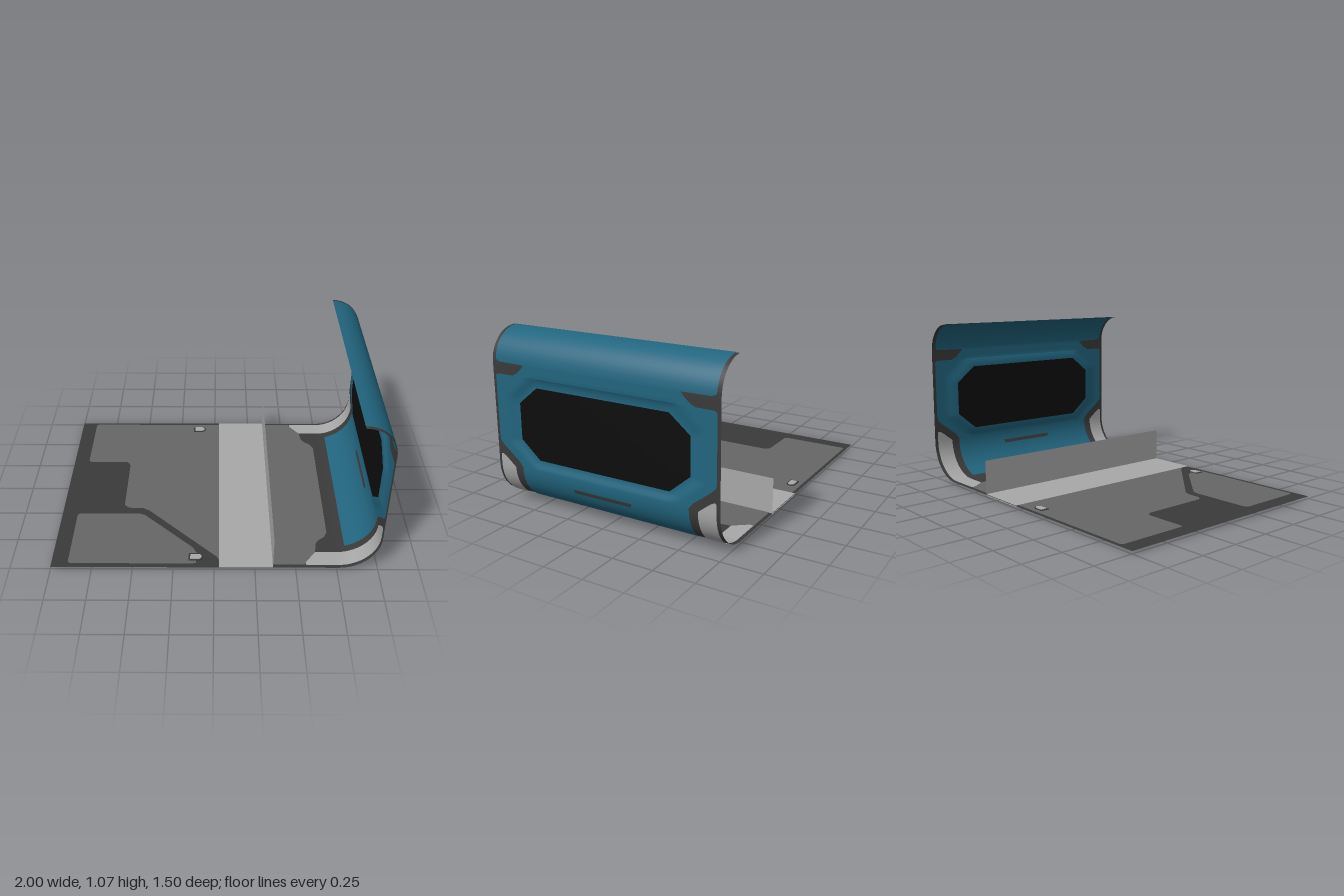
import * as THREE from 'three';

const mat = (name, color, side = THREE.DoubleSide) => {
  const m = new THREE.MeshStandardMaterial({ color, side });
  m.name = name;
  return m;
};

// Sheet profile: flat floor, lower bend, upright wall, upper bend
const FLOOR = 0.015, R1 = 0.24, R2 = 0.19, TOP = 1.065;
const bendStart = 2 - R1;                          // arc length where the floor ends
const wallStart = bendStart + R1 * Math.PI / 2;
const wallLow = FLOOR + R1, wallHigh = TOP - R2;
const wallEnd = wallStart + wallHigh - wallLow;
const total = wallEnd + R2 * Math.PI / 2;

// Arc length at a floor x, or at a height y on the bends and wall
const fx = x => x + 1;
const wy = y => {
  if (y < wallLow) return bendStart + R1 * Math.acos(1 - (y - FLOOR) / R1);
  if (y < wallHigh) return wallStart + y - wallLow;
  return wallEnd + R2 * Math.asin(Math.min(1, (y - wallHigh) / R2));
};

// Shallow eight-sided recess in the wall
function recess(y, z) {
  const dy = Math.abs(y - 0.5425), az = Math.abs(z);
  const d = Math.min((0.2725 - dy) / 0.03, (0.64 - az) / 0.04, (0.8 - az - 1.156 * dy) / 0.07);
  return 0.015 * THREE.MathUtils.clamp(d, 0, 1);
}

// Point on the sheet, moved inward by an offset
function sheetPoint(u, z, offset) {
  let x, y, a = 0;
  if (u < bendStart) {
    x = u - 1; y = FLOOR;
  } else if (u < wallStart) {
    a = (u - bendStart) / R1;
    x = 1 - R1 + R1 * Math.sin(a); y = FLOOR + R1 - R1 * Math.cos(a);
  } else if (u < wallEnd) {
    a = Math.PI / 2;
    x = 1; y = wallLow + u - wallStart;
    offset += recess(y, z);
  } else {
    const b = Math.min(Math.PI / 2, (u - wallEnd) / R2);
    a = Math.PI / 2 + b;
    x = 1 - R2 + R2 * Math.cos(b); y = wallHigh + R2 * Math.sin(b);
  }
  return [x - Math.sin(a) * offset, y + Math.cos(a) * offset, z];
}

// Patch lying on the sheet, from stations [arc length, z start, z end]
function patchGeometry(stations, offset, nz) {
  const rows = [stations[0]];
  for (let i = 1; i < stations.length; i++) {
    const p = stations[i - 1], q = stations[i];
    const n = Math.max(1, Math.ceil((q[0] - p[0]) / 0.025));
    for (let k = 1; k <= n; k++) rows.push(p.map((v, j) => v + (q[j] - v) * k / n));
  }
  const pos = [], index = [];
  rows.forEach(([u, z0, z1], r) => {
    for (let j = 0; j <= nz; j++) pos.push(...sheetPoint(u, z0 + (z1 - z0) * j / nz, offset));
    if (!r) return;
    for (let j = 0; j < nz; j++) {
      const b = r * (nz + 1) + j, a = b - nz - 1;
      index.push(a, a + 1, b, b, a + 1, b + 1);
    }
  });
  const g = new THREE.BufferGeometry();
  g.setAttribute('position', new THREE.Float32BufferAttribute(pos, 3));
  g.setIndex(index);
  g.computeVertexNormals();
  return g;
}

export function createModel() {
  const model = new THREE.Group();
  model.name = 'foldedCover';
  const dark = mat('darkGrey', 0x3a3a3a);
  const grey = mat('midGrey', 0x666666);
  const light = mat('lightGrey', 0xa8a8a8);
  const teal = mat('teal', 0x22657f);
  const black = mat('black', 0x0d0d0d);

  const add = (name, geometry, material) => {
    const m = new THREE.Mesh(geometry, material);
    m.name = name;
    model.add(m);
    return m;
  };
  // Painted patches appear on both faces of the thin sheet
  const patch = (name, material, stations, offset, nz = 1) => {
    for (const o of offset ? [offset, -offset] : [0]) add(name, patchGeometry(stations, o, nz), material);
  };
  const even = list => list.map(([u, w]) => [u, -w, w]);
  const flip = list => list.map(([u, a, b]) => [u, -b, -a]);

  // Dark base: floor and the two side borders of the wall
  patch('floorSheet', dark, even([[0, 0.75], [fx(0.76), 0.75], [wy(0.035), 0.75]]), 0);
  const border = [
    [wy(0.035), 0.54, 0.75], [wy(0.27), 0.54, 0.75], [wy(0.35), 0.66, 0.75],
    [wy(0.78), 0.66, 0.75], [wy(0.805), 0.5, 0.75], [total, 0.5, 0.75],
  ];
  patch('wallBorderLeft', dark, border, 0);
  patch('wallBorderRight', dark, flip(border), 0);

  // Teal wall skin with side notches, running over the upper lip
  patch('wallSkin', teal, even([
    [wy(0.022), 0.57], [wy(0.26), 0.565], [wy(0.29), 0.59], [wy(0.375), 0.7], [wy(0.4), 0.725],
    [wy(0.43), 0.73], [wy(0.8), 0.73], [wy(0.81), 0.715], [wy(0.811), 0.605], [wy(0.825), 0.575],
    [wy(0.85), 0.545], [wy(0.88), 0.517], [wy(0.882), 0.7], [wy(0.895), 0.725], [total, 0.73],
  ]), 0.0025, 42);

  // Black window and the slot below it
  patch('wallWindow', black, even([
    [wy(0.32), 0.44], [wy(0.43), 0.57], [wy(0.65), 0.57], [wy(0.755), 0.44],
  ]), 0.0045, 8);
  patch('wallSlot', dark, even([[wy(0.172), 0.19], [wy(0.195), 0.2]]), 0.0045);

  // Light corner guards wrapping the lower bend
  const guard = [
    [fx(0.565), 0.705, 0.73], [fx(0.63), 0.62, 0.73], [wy(0.25), 0.62, 0.73],
    [wy(0.31), 0.695, 0.73], [wy(0.32), 0.715, 0.725],
  ];
  patch('cornerGuardLeft', light, guard, 0.0035);
  patch('cornerGuardRight', light, flip(guard), 0.0035);

  // Grey floor panels with the diagonal dark band between them
  patch('mainFloorPanel', grey, [
    [fx(-0.9), -0.715, -0.29], [fx(-0.885), -0.73, -0.275], [fx(-0.63), -0.73, -0.275],
    [fx(-0.607), -0.73, -0.255], [fx(-0.6), -0.73, -0.23], [fx(-0.599), -0.73, 0.185],
    [fx(-0.57), -0.73, 0.213], [fx(-0.47), -0.73, 0.218], [fx(-0.43), -0.73, 0.24],
    [fx(0.02), -0.73, 0.665], [fx(0.045), -0.73, 0.725], [fx(0.56), -0.73, 0.725],
    [fx(0.565), -0.705, 0.705], [fx(0.63), -0.62, 0.62], [fx(0.64), -0.545, 0.545],
    [fx(0.66), -0.515, 0.515], [fx(0.7), -0.485, 0.485], [fx(0.72), -0.445, 0.445],
  ], 0.0025);
  patch('sideFloorPanel', grey, [
    [fx(-0.9), 0.285, 0.705], [fx(-0.885), 0.27, 0.72], [fx(-0.49), 0.27, 0.72],
    [fx(-0.455), 0.285, 0.72], [fx(-0.135), 0.58, 0.72], [fx(-0.11), 0.625, 0.715],
  ], 0.0025);

  // Light angled flap: a flat flange and an upright divider
  const flapX = 0.36, flapHeight = 0.22;
  patch('dividerFlange', light, even([[fx(0.03), 0.75], [fx(flapX), 0.75]]), 0.004);
  const divider = add('divider', new THREE.PlaneGeometry(1.5, flapHeight), light);
  divider.rotation.y = Math.PI / 2;
  divider.position.set(flapX, FLOOR + flapHeight / 2, 0);

  // Bullet-shaped clips through the floor
  const bullet = (x0, x1, h, depth) => {
    const s = new THREE.Shape();
    s.moveTo(x0, -h);
    s.lineTo(x1 - h, -h);
    s.absarc(x1 - h, 0, h, -Math.PI / 2, Math.PI / 2);
    s.lineTo(x0, h);
    s.closePath();
    return new THREE.ExtrudeGeometry(s, { depth, bevelEnabled: false, curveSegments: 8 }).rotateX(-Math.PI / 2);
  };
  for (const z of [0.665, -0.67]) {
    add('clipBase', bullet(-0.157, -0.068, 0.029, 0.021), dark).position.set(0, 0, z);
    add('clipInsert', bullet(-0.147, -0.077, 0.021, 0.004), light).position.set(0, 0.02, z);
  }
  return model;
}
